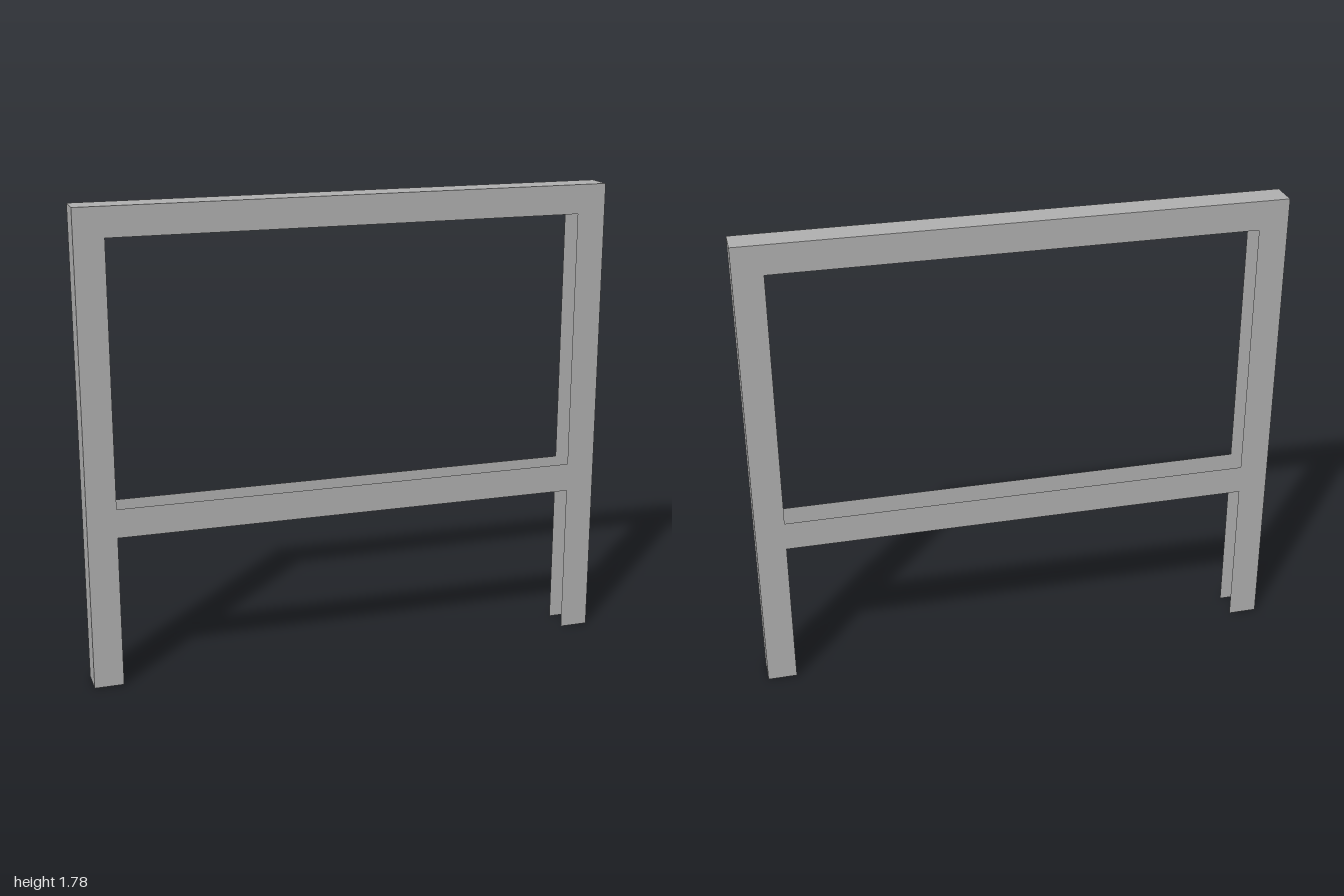
import * as THREE from 'three';

// Frame of thin sheet channels: each member is a front, a back and one web
const HALF_W = 1, HEIGHT = 1.785, SIZE = 0.11, INNER = HALF_W - SIZE;

export function createModel() {
  const greyMetal = new THREE.MeshStandardMaterial({ color: 0xb0b0b0, side: THREE.DoubleSide });
  greyMetal.name = 'greyMetal';
  const model = new THREE.Group();
  model.name = 'frame';

  const plate = (group, name, w, h, x, y, z, rx = 0, ry = 0) => {
    const mesh = new THREE.Mesh(new THREE.PlaneGeometry(w, h), greyMetal);
    mesh.name = name;
    mesh.position.set(x, y, z);
    mesh.rotation.set(rx, ry, 0);
    group.add(mesh);
  };
  const member = (name, w, h, x, y) => {
    const group = new THREE.Group();
    group.name = name;
    plate(group, 'frontFlange', w, h, x, y, SIZE / 2);
    plate(group, 'backFlange', w, h, x, y, -SIZE / 2, 0, Math.PI);
    model.add(group);
    return group;
  };

  // Posts, open towards the middle and at the foot
  for (const side of [-1, 1]) {
    const post = member(side > 0 ? 'leftPost' : 'rightPost',
      SIZE, HEIGHT, side * (HALF_W - SIZE / 2), HEIGHT / 2);
    plate(post, 'outerWeb', SIZE, HEIGHT, side * HALF_W, HEIGHT / 2, 0, 0, side * Math.PI / 2);
  }

  // Top rail, open below; its web also closes the post tops
  const topRail = member('topRail', 2 * INNER, SIZE, 0, HEIGHT - SIZE / 2);
  plate(topRail, 'topWeb', 2 * HALF_W, SIZE, 0, HEIGHT, 0, -Math.PI / 2);

  // Middle rail, open above
  const middleRail = member('middleRail', 2 * INNER, SIZE, 0, 0.635);
  plate(middleRail, 'bottomWeb', 2 * INNER, SIZE, 0, 0.58, 0, Math.PI / 2);

  return model;
}
